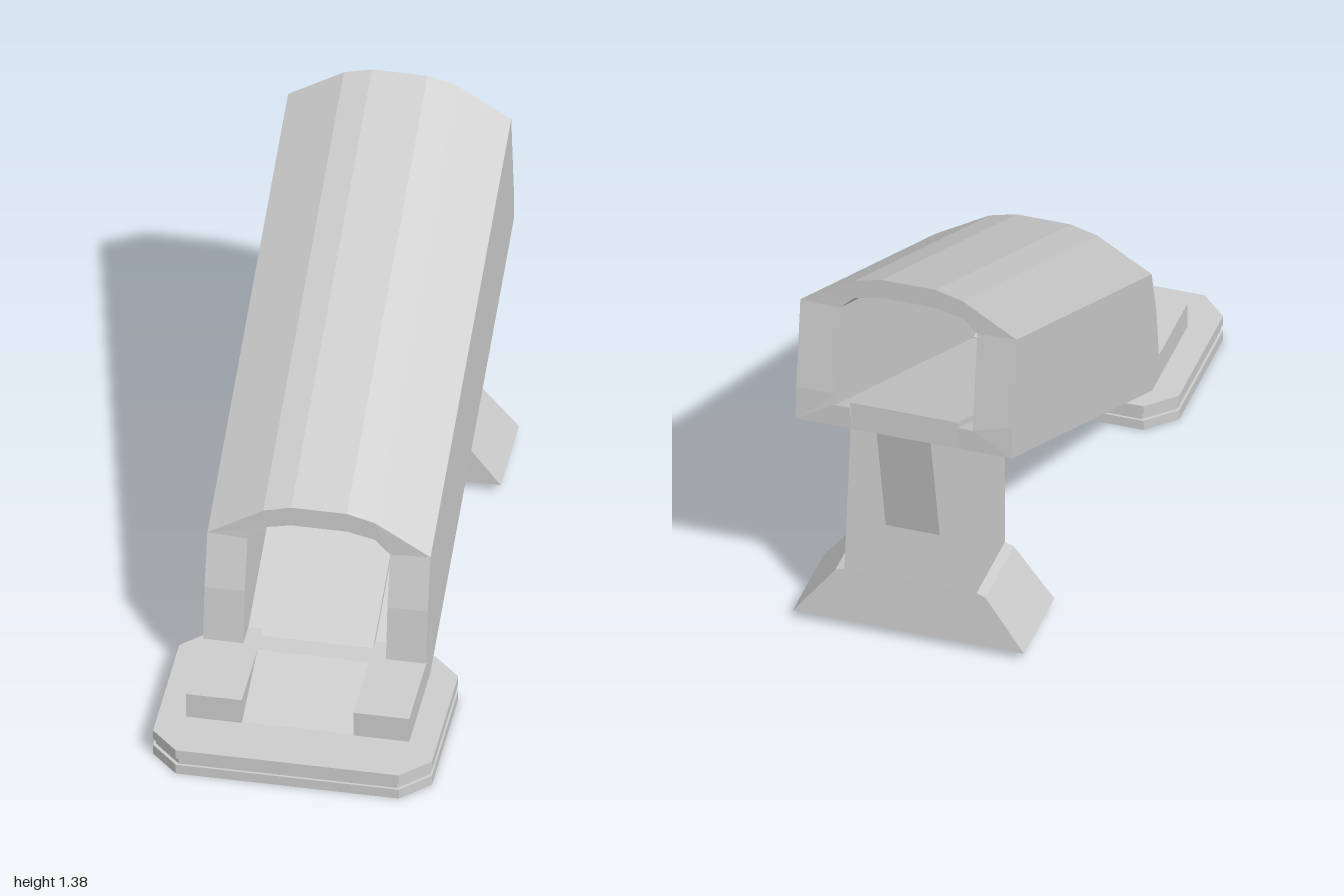
import * as THREE from 'three';

const material = new THREE.MeshStandardMaterial({
  color: 0xcccccc, flatShading: true, side: THREE.DoubleSide,
});

function part(name, geometry) {
  const mesh = new THREE.Mesh(geometry, material);
  mesh.name = name;
  return mesh;
}

// Skin a list of closed rings; optionally join the last ring to the first
function loft(rings, joinEnds) {
  const n = rings[0].length, positions = [], index = [];
  rings.forEach((ring) => ring.forEach((p) => positions.push(...p)));
  const count = joinEnds ? rings.length : rings.length - 1;
  for (let i = 0; i < count; i++) {
    const j = (i + 1) % rings.length;
    for (let k = 0; k < n; k++) {
      const m = (k + 1) % n;
      const a = i * n + k, b = j * n + k, c = j * n + m, d = i * n + m;
      index.push(a, d, c, a, c, b);
    }
  }
  const indexed = new THREE.BufferGeometry();
  indexed.setAttribute('position', new THREE.Float32BufferAttribute(positions, 3));
  indexed.setIndex(index);
  const geometry = indexed.toNonIndexed();
  geometry.computeVertexNormals();
  return geometry;
}

function polygon(points) {
  return new THREE.Shape(points.map(([x, y]) => new THREE.Vector2(x, y)));
}

// Side profile given as (z, y), extruded across x
function sideExtrude(points, width, x) {
  const g = new THREE.ExtrudeGeometry(polygon(points), { depth: width, bevelEnabled: false });
  return g.rotateY(-Math.PI / 2).translate(x + width / 2, 0, 0);
}

// Piecewise linear lookup
function lookup(table, h) {
  for (let i = 1; i < table.length; i++) {
    const [h0, v0] = table[i - 1], [h1, v1] = table[i];
    if (h <= h1) return v0 + ((v1 - v0) * (h - h0)) / (h1 - h0);
  }
  return table[table.length - 1][1];
}

// Octagonal slab, y from y0 to y1
function slab(inset, y0, y1) {
  const x = 0.45 - inset, front = 1 - inset, back = 0.365 + inset, c = 0.09;
  const g = new THREE.ExtrudeGeometry(polygon([
    [x - c, front], [x, front - c], [x, back + c], [x - c, back],
    [c - x, back], [-x, back + c], [-x, front - c], [c - x, front],
  ]), { depth: y1 - y0, bevelEnabled: false });
  return g.rotateX(Math.PI / 2).translate(0, y1, 0);
}

// Sloping hollow housing: paired outer and inner points, (x, height above underside)
function housingGeometry() {
  const half = [
    [[0.17, 0], [0.18, 0.1]],
    [[0.18, 0], [0.18, 0.08]],
    [[0.36, 0], [0.23, 0.08]],
    [[0.36, 0.1225], [0.23, 0.1225]],
    [[0.36, 0.3], [0.23, 0.3]],
    [[0.36, 0.455], [0.23, 0.45]],
    [[0.18, 0.566], [0.18, 0.5]],
    [[0.09, 0.59], [0.09, 0.52]],
  ];
  const mirrored = half.map((pair) => pair.map(([x, h]) => [-x, h])).reverse();
  const frontZ = [[0, 0.46], [0.08, 0.44], [0.1225, 0.525], [0.3, 0.5], [0.455, 0.45]];
  const backZ = [[0, -1], [0.08, -1], [0.455, -0.95]];
  const point = ([x, h], table) => {
    const z = lookup(table, h);
    return [x, h + 0.32 - 0.5 * z, z];
  };
  const rings = [...half, ...mirrored].map(([outer, inner]) => [
    point(outer, frontZ), point(outer, backZ), point(inner, backZ), point(inner, frontZ),
  ]);
  return loft(rings, true);
}

// Rear column with a splayed foot, open underneath
function standGeometry() {
  const sections = [ // half width, front y, back y, back z
    [0.385, 0.03, 0.03, -0.95],
    [0.25, 0.205, 0.205, -0.93],
    [0.22, 0.215, 0.215, -0.929],
    [0.22, 0.64, 0.755, -0.86],
  ];
  return loft(sections.map(([w, yf, yb, zb]) => [
    [w, yf, -0.635], [w, yb, zb], [-w, yb, zb], [-w, yf, -0.635],
  ]), false);
}

export function createModel() {
  const model = new THREE.Group();

  // Base plate with a shallow groove around its edge
  const base = new THREE.Group();
  base.name = 'basePlate';
  base.add(
    part('lowerPlate', slab(0, 0, 0.035)),
    part('plateGroove', slab(0.008, 0.035, 0.06)),
    part('upperPlate', slab(0, 0.06, 0.092)),
  );
  model.add(base);

  // Entry block: two arms with a ramp between them
  for (const side of [-1, 1]) {
    model.add(part(side > 0 ? 'leftArm' : 'rightArm', sideExtrude(
      [[0.82, 0.09], [0.82, 0.182], [0.44, 0.182], [0.46, 0.09]], 0.18, side * 0.27)));
  }
  model.add(part('entryRamp', sideExtrude(
    [[0.82, 0.09], [0.55, 0.182], [0.44, 0.182], [0.46, 0.09]], 0.36, 0)));

  model.add(part('housing', housingGeometry()));

  // Rear support and its central gusset
  model.add(part('rearStand', standGeometry()));
  model.add(part('standGusset', sideExtrude(
    [[-0.85, 0.75], [-0.905, 0.395], [-1, 0.82]], 0.18, 0)));

  return model;
}
